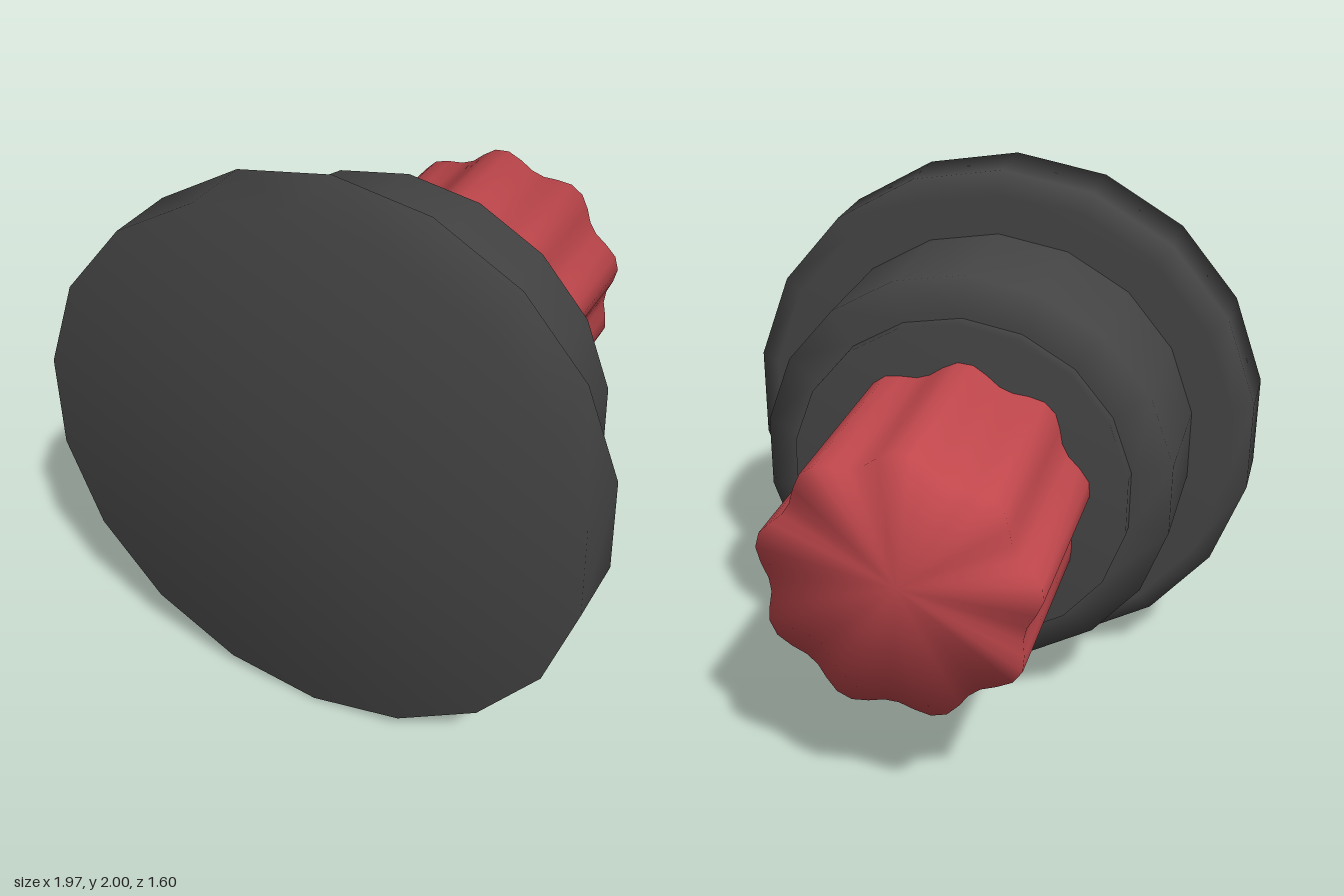
import * as THREE from 'three';
import { mergeVertices } from 'three/addons/utils/BufferGeometryUtils.js';

const SIDES = 18;
const LOBES = 9;
const AXIS_Y = 1;

// Turns a profile of [radius, z] pairs, listed from back to front, around the z axis.
function turned(profile, sides) {
  const points = profile.map(([r, z]) => new THREE.Vector2(r, z));
  return new THREE.LatheGeometry(points, sides).rotateX(Math.PI / 2);
}

// Scallops a turned shape into rounded lobes, then smooths it.
function fluted(geometry, depth, phase) {
  const p = geometry.attributes.position;
  for (let i = 0; i < p.count; i++) {
    const angle = Math.atan2(p.getX(i), p.getY(i)) - phase;
    const k = 1 - depth * (1 - Math.cos(LOBES * angle)) / 2;
    p.setXY(i, p.getX(i) * k, p.getY(i) * k);
  }
  geometry.deleteAttribute('normal');
  geometry.deleteAttribute('uv');
  const merged = mergeVertices(geometry, 1e-4);
  merged.computeVertexNormals();
  return merged;
}

export function createModel() {
  const group = new THREE.Group();
  const dark = new THREE.MeshStandardMaterial({ color: 0x444444 });
  const red = new THREE.MeshStandardMaterial({ color: 0xc0474c });

  const add = (name, geometry, material) => {
    const mesh = new THREE.Mesh(geometry, material);
    mesh.name = name;
    mesh.position.y = AXIS_Y;
    group.add(mesh);
  };

  // Wide front disc with a bevelled rear rim
  add('flange', turned([[0, 0.51], [0.92, 0.51], [1, 0.55], [1, 0.8], [0, 0.8]], SIDES), dark);

  // Drum behind the disc, chamfered at its back edge
  add('body', turned([[0, 0], [0.64, 0], [0.77, 0.04], [0.77, 0.52]], SIDES), dark);

  // Thin ring around the foot of the knob
  add('collar', turned([[0, -0.06], [0.627, -0.06], [0.627, 0.01]], SIDES), dark);

  // Scalloped grip at the back
  const grip = turned([[0, -0.8], [0.488, -0.8], [0.488, -0.04]], LOBES * 6);
  add('knob', fluted(grip, 0.11, THREE.MathUtils.degToRad(-3)), red);

  return group;
}
